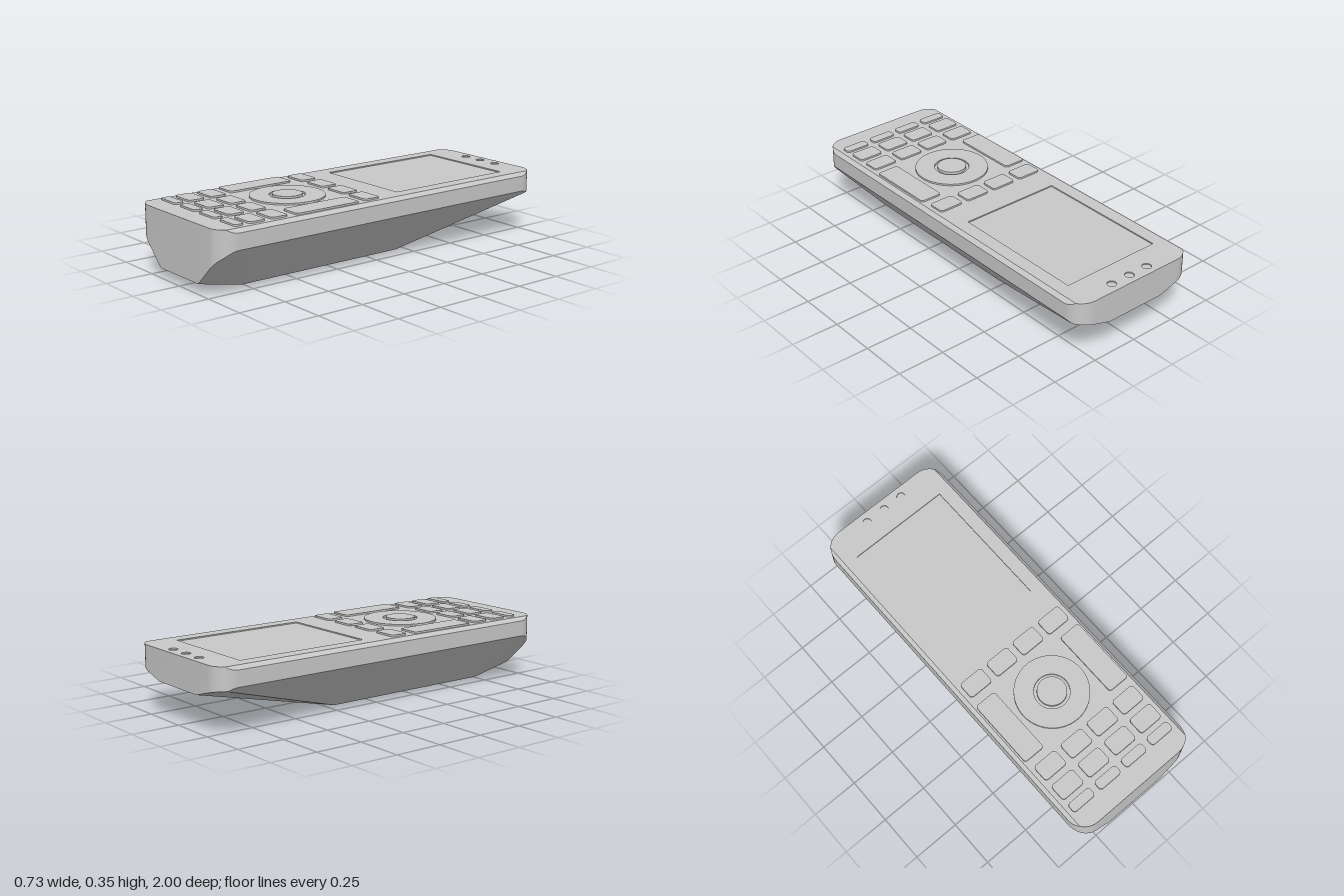
import * as THREE from 'three';
import { toCreasedNormals } from 'three/addons/utils/BufferGeometryUtils.js';

const W = 0.365, R = 0.1, TOP = 0.34, EDGE = 0.346; // half width, corner radius, top height, chamfer start
const KEEL = 0.164, SHOULDER = 0.24;                // half width of the underside, height of the widest line
const CREASE = 0.5;

const body = new THREE.MeshStandardMaterial({ color: 0xc8c8c8 });
body.name = 'grey plastic';

function add(parent, name, geometry) {
  const mesh = new THREE.Mesh(geometry, body);
  mesh.name = name;
  parent.add(mesh);
  return mesh;
}

// Half cross-section of the case at z, from the top edge down to the underside
function halfSection(z, w) {
  const back = Math.max(0, (-0.2 - z) / 0.8), front = Math.max(0, (z - 0.76) / 0.24);
  const t = Math.max(back, front);
  const yBottom = 0.18 * back + 0.05 * front;
  const xd = KEEL + (W - KEEL) * t, yd = SHOULDER * t; // diagonal crease of the lower corner facet
  const low = (x) => {
    if (x <= xd) return xd - KEEL < 1e-6 ? yBottom : yBottom + (yd - yBottom) * (x - KEEL) / (xd - KEEL);
    return yd + (SHOULDER - yd) * (x - xd) / (W - xd);
  };
  const xm = Math.min(xd, w);
  return [
    [Math.min(w, EDGE), TOP],
    [w, TOP - Math.max(0, w - EDGE)],
    [w, low(w)],
    [xm, low(xm)],
    [KEEL, yBottom],
  ];
}

// Stations along the length: dense through the rounded corners
function stations() {
  const corner = [];
  for (let i = 0; i <= 10; i++) {
    const a = (i / 10) * Math.PI / 2;
    corner.push([1 - R + R * Math.sin(a), W - R + R * Math.cos(a)]);
  }
  return [
    ...corner.map(([z, w]) => [-z, w]).reverse(),
    [-0.2, W], [0.76, W],
    ...corner,
  ];
}

// Walls, underside and ends of the case
function caseGeometry() {
  const loops = stations().map(([z, w]) => {
    const half = halfSection(z, w);
    const other = half.map(([x, y]) => [-x, y]).reverse();
    return [...half, ...other].map(([x, y]) => [x, y, z]);
  });
  const pos = [];
  const tri = (a, b, c) => pos.push(...a, ...b, ...c);
  const n = loops[0].length;
  for (let i = 0; i < loops.length - 1; i++) {
    for (let k = 0; k < n - 1; k++) {
      const a = loops[i][k], b = loops[i][k + 1], c = loops[i + 1][k + 1], d = loops[i + 1][k];
      tri(a, c, b);
      tri(a, d, c);
    }
  }
  const first = loops[0], last = loops[loops.length - 1];
  for (let k = 0; k < n; k++) {
    const j = (k + 1) % n;
    tri([0, 0.26, -1], first[k], first[j]);
    tri([0, 0.26, 1], last[j], last[k]);
  }
  const geo = new THREE.BufferGeometry();
  geo.setAttribute('position', new THREE.Float32BufferAttribute(pos, 3));
  return toCreasedNormals(geo, CREASE);
}

// Shapes are drawn in plan, with shape y = -z
function roundedRect(cx, cz, w, d, r, Type = THREE.Shape) {
  const s = new Type(), x = w / 2, y = d / 2, v = -cz;
  s.absarc(cx + x - r, v + y - r, r, 0, Math.PI / 2);
  s.absarc(cx - x + r, v + y - r, r, Math.PI / 2, Math.PI);
  s.absarc(cx - x + r, v - y + r, r, Math.PI, Math.PI * 1.5);
  s.absarc(cx + x - r, v - y + r, r, Math.PI * 1.5, Math.PI * 2);
  s.closePath();
  return s;
}

function circle(cx, cz, r, Type = THREE.Shape) {
  const s = new Type();
  s.absarc(cx, -cz, r, 0, Math.PI * 2);
  return s;
}

function raised(shape, height, curveSegments = 6) {
  const geo = new THREE.ExtrudeGeometry(shape, { depth: height, bevelEnabled: false, curveSegments });
  geo.rotateX(-Math.PI / 2).translate(0, TOP, 0);
  return toCreasedNormals(geo, CREASE);
}

// An extrusion turned inside out, without its upper lid, makes the walls and floor of a recess
function pocket(shape, depth) {
  const solid = new THREE.ExtrudeGeometry(shape, { depth, bevelEnabled: false, curveSegments: 12 });
  const lidVertices = solid.groups[0].count / 2;
  const geo = new THREE.BufferGeometry();
  geo.setAttribute('position', new THREE.BufferAttribute(solid.attributes.position.array.slice(lidVertices * 3), 3));
  geo.scale(1, 1, -1).rotateX(-Math.PI / 2).translate(0, TOP, 0);
  return toCreasedNormals(geo, CREASE);
}

export function createModel() {
  const model = new THREE.Group();
  model.name = 'remoteControl';

  add(model, 'case', caseGeometry());

  // Top panel with openings for the screen and the three small holes
  const rows = stations().map(([z, w]) => [Math.min(w, EDGE), -z]);
  const outline = [...rows, ...rows.map(([x, y]) => [-x, y]).reverse()];
  const panel = new THREE.Shape(outline.map(([x, y]) => new THREE.Vector2(x, y)));
  const screen = (Type) => roundedRect(0, -0.469, 0.55, 0.722, 0.002, Type);
  const hole = (x, Type) => circle(x, -0.948, 0.023, Type);
  const holes = [-0.113, 0, 0.113];
  panel.holes.push(screen(THREE.Path), ...holes.map((x) => hole(x, THREE.Path)));
  add(model, 'topPanel', new THREE.ShapeGeometry(panel, 12).rotateX(-Math.PI / 2).translate(0, TOP, 0));
  add(model, 'screen', pocket(screen(THREE.Shape), 0.006));
  for (const x of holes) add(model, 'indicatorHole', pocket(hole(x, THREE.Shape), 0.006));

  // Rows of four keys: [centre z, depth]
  const keys = new THREE.Group();
  keys.name = 'keys';
  model.add(keys);
  for (const [z, d] of [[0.088, 0.092], [0.643, 0.092], [0.769, 0.092], [0.869, 0.052]]) {
    for (const x of [-0.255, -0.085, 0.085, 0.255]) {
      add(keys, 'key', raised(roundedRect(x, z, 0.136, d, 0.017), 0.009));
    }
  }
  for (const side of [-1, 1]) {
    add(keys, 'rockerKey', raised(roundedRect(side * 0.277, 0.367, 0.119, 0.372, 0.015), 0.009));
  }

  // Round navigation pad with a separate centre button
  const ring = circle(0, 0.366, 0.189);
  ring.holes.push(circle(0, 0.366, 0.09, THREE.Path));
  add(model, 'navigationRing', raised(ring, 0.009, 48));
  add(model, 'centreButton', raised(circle(0, 0.366, 0.075), 0.015, 36));

  return model;
}
